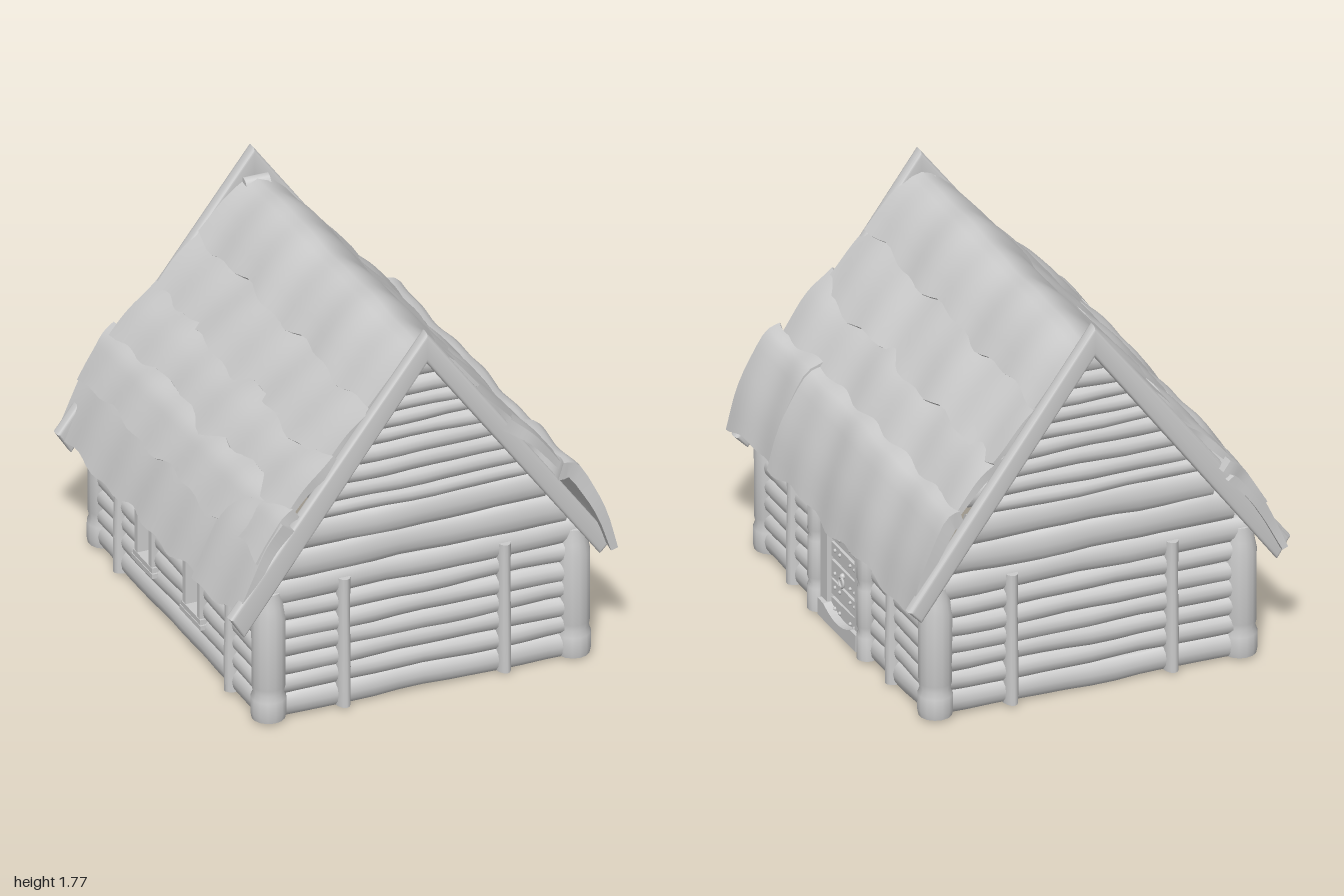
import * as THREE from 'three';
import { toCreasedNormals } from 'three/addons/utils/BufferGeometryUtils.js';

const material = new THREE.MeshStandardMaterial({ color: 0xcccccc });
const shellMaterial = new THREE.MeshStandardMaterial({ color: 0xcccccc, side: THREE.DoubleSide });
const CX = 0.02;            // x of the ridge
const SLOPE = 1.37;         // steepness of the gable
const LEFT = 0.757, RIGHT = -0.717, FRONT = 0.86, BACK = -0.885;   // wall planes

let seed = 7;
const rand = () => ((seed = (seed * 16807) % 2147483647) / 2147483647) - 0.5;
const wave = (z, k) => 0.6 * Math.sin(z * 8 + k * 2.1) + 0.4 * Math.sin(z * 19 + k * 1.3);

function add(parent, name, geometry, x = 0, y = 0, z = 0, mat = material) {
  const mesh = new THREE.Mesh(geometry, mat);
  mesh.name = name;
  mesh.position.set(x, y, z);
  parent.add(mesh);
  return mesh;
}

const box = (parent, name, w, h, d, x, y, z) =>
  add(parent, name, new THREE.BoxGeometry(w, h, d), x, y, z);

// Slightly uneven horizontal log running along x (or along z)
function log(parent, name, from, to, y, across, height, alongZ = false) {
  const length = to - from, mid = (from + to) / 2, k = rand() * 20;
  const g = new THREE.CylinderGeometry(1, 1, length, 12, Math.max(2, Math.ceil(length / 0.12)));
  const p = g.attributes.position;
  for (let i = 0; i < p.count; i++) {
    const t = p.getY(i), s = 1 + 0.06 * wave(t, k);
    p.setXYZ(i, t, p.getX(i) * height * 0.55 * s + 0.006 * wave(t * 0.6, k + 2), -p.getZ(i) * 0.04 * s);
  }
  const mesh = add(parent, name, toCreasedNormals(g, 0.9), alongZ ? across : mid, y, alongZ ? mid : across);
  if (alongZ) mesh.rotation.y = Math.PI / 2;
  return mesh;
}

// Upright post turned from radius/height pairs
function post(parent, name, profile, x, z) {
  const g = new THREE.LatheGeometry(profile.map(([r, y]) => new THREE.Vector2(r, y)), 14);
  return add(parent, name, toCreasedNormals(g, 0.8), x, 0, z);
}

const cornerProfile = [[0, 0], [0.074, 0], [0.08, 0.03], [0.079, 0.1], [0.068, 0.13], [0.075, 0.16],
  [0.076, 0.5], [0.066, 0.55], [0.056, 0.62], [0, 0.63]];
const doorPostProfile = [[0, 0], [0.046, 0], [0.047, 0.11], [0.038, 0.135], [0.046, 0.16], [0.045, 0.34],
  [0.038, 0.365], [0.046, 0.39], [0.044, 0.55], [0, 0.6]];
const slimProfile = (h) => [[0, 0], [0.033, 0], [0.034, h * 0.3], [0.031, h * 0.7], [0.033, h], [0, h]];

// Thatch sheet: a cross-section with thickness, swept along z with a wavy surface and edges
function thatch(parent, name, points, zMin, zMax, k, thickness) {
  const curve = new THREE.CatmullRomCurve3(points.map(([x, y]) => new THREE.Vector3(x, y, 0)));
  const n = 10, steps = 32, ring = 2 * (n + 1), pos = [], idx = [];
  const side = Math.sign(points[points.length - 1][0]);
  for (let s = 0; s <= steps; s++) {
    const z = zMin + (zMax - zMin) * s / steps;
    for (let j = 0; j < ring; j++) {
      const outer = j <= n, t = (outer ? j : ring - 1 - j) / n, e = 2 * t - 1;
      const c = curve.getPoint(t), d = curve.getTangent(t);
      const lift = (outer ? 0 : -thickness * (1 - 0.6 * t)) + 0.011 * wave(z, k + t);
      const slide = 0.026 * e * Math.abs(e) * wave(z * 1.2, k + 5 + t);
      pos.push(c.x - d.y * side * lift + d.x * slide, c.y + d.x * side * lift + d.y * slide + 0.018 * z,
        z + (s % steps ? 0 : 0.01 * wave(t * 0.4, k)));
    }
  }
  for (let s = 0; s < steps; s++) for (let j = 0; j < ring; j++) {
    const a = s * ring + j, b = s * ring + (j + 1) % ring;
    idx.push(a, b, a + ring, b, b + ring, a + ring);
  }
  for (let j = 0; j < n; j++) for (const [o, flip] of [[0, true], [steps * ring, false]]) {
    const a = o + j, b = o + j + 1, c = o + ring - 2 - j, d = o + ring - 1 - j;
    idx.push(...(flip ? [a, c, b, a, d, c] : [a, b, c, a, c, d]));
  }
  if (side > 0) idx.reverse();
  const g = new THREE.BufferGeometry();
  g.setAttribute('position', new THREE.Float32BufferAttribute(pos, 3));
  g.setIndex(idx);
  add(parent, name, toCreasedNormals(g, 0.7), 0, 0, 0, shellMaterial);
}

function buildGable(parent, z, sign) {
  const gable = new THREE.Group();
  gable.name = 'gableWall';
  parent.add(gable);
  [0.055, 0.155, 0.245, 0.33, 0.415, 0.51].forEach((y, i) =>
    log(gable, 'wallLog', -0.68, 0.72, y, z, i ? 0.092 : 0.11));
  // logs shorten towards the peak; these are the joints between them
  const joints = [0.555, 0.665, 0.8, 0.93, 1.0, 1.08, 1.16, 1.24, 1.31, 1.38, 1.45, 1.53, 1.63];
  for (let i = 1; i < joints.length; i++) {
    const y = (joints[i - 1] + joints[i]) / 2, half = (1.66 - y) / SLOPE;
    log(gable, 'gableLog', CX - half, CX + half, y, z, joints[i] - joints[i - 1] + 0.006)
      .rotation.z = rand() * 0.012 * half;
  }
  for (const x of [-0.36, 0.4])
    post(gable, 'wallPost', slimProfile(0.63), x, z + sign * 0.01).scale.z = 1.75;

  // rake boards meeting at the peak
  const s = new THREE.Shape([[CX, 1.76], [-0.91, 0.55], [-0.845, 0.45], [CX, 1.61],
    [0.84, 0.49], [0.9, 0.55]].map(([x, y]) => new THREE.Vector2(x, y)));
  const g = new THREE.ExtrudeGeometry(s, { depth: 0.028, bevelEnabled: true, bevelThickness: 0.016,
    bevelSize: 0.018, bevelOffset: -0.018, bevelSegments: 3 });
  add(gable, 'rakeBoards', toCreasedNormals(g, 0.7), 0, 0, z + sign * 0.042 - 0.014);
}

function buildDoor(parent) {
  const door = new THREE.Group();
  door.name = 'door';
  parent.add(door);
  for (const z of [0.25, -0.27]) post(door, 'doorPost', doorPostProfile, 0.793, z);
  for (const z of [0.17, -0.185]) box(door, 'doorJamb', 0.08, 0.5, 0.065, 0.76, 0.25, z);
  box(door, 'lintel', 0.09, 0.04, 0.42, 0.765, 0.5, -0.008);
  log(door, 'lintelLog', -0.24, 0.22, 0.555, 0.765, 0.07, true);
  // worn sill, dipping in the middle
  const sill = new THREE.Shape();
  sill.moveTo(-0.2, 0);
  sill.lineTo(0.2, 0);
  sill.lineTo(0.2, 0.08);
  sill.lineTo(0.14, 0.08);
  sill.quadraticCurveTo(0, 0.01, -0.14, 0.08);
  sill.lineTo(-0.2, 0.08);
  const sillGeo = new THREE.ExtrudeGeometry(sill, { depth: 0.1, bevelEnabled: false });
  add(door, 'sill', sillGeo, 0.72, 0, -0.008).rotation.y = Math.PI / 2;
  box(door, 'doorBacking', 0.02, 0.44, 0.29, 0.75, 0.26, -0.008);
  [[0.075, 0.065], [0.155, 0.07], [0.245, 0.08], [0.335, 0.07], [0.43, 0.085]].forEach(([y, h], i) => {
    box(door, 'doorPlank', 0.03, h, 0.28, 0.765, y, -0.008).rotation.x = rand() * 0.06;
    for (const z of [0.09, 0.04, -0.07, -0.115])
      add(door, 'stud', new THREE.SphereGeometry(0.009, 8, 6), 0.782, y + (i % 2 ? 0.012 : -0.01), z);
  });
  const ring = add(door, 'ringHandle', new THREE.TorusGeometry(0.024, 0.006, 8, 18), 0.792, 0.235, 0.005);
  ring.rotation.y = Math.PI / 2;
  add(door, 'handleBoss', new THREE.SphereGeometry(0.014, 10, 8), 0.785, 0.262, 0.005);
}

function buildWindow(parent, z) {
  const w = new THREE.Group();
  w.name = 'window';
  w.position.set(RIGHT, 0.325, z);
  parent.add(w);
  for (const s of [-1, 1]) {
    box(w, 'windowJamb', 0.11, 0.26, 0.03, 0, 0, s * 0.075);
    box(w, 'windowRail', 0.115, 0.03, 0.2, 0, s * 0.13, 0);
  }
  box(w, 'windowSill', 0.122, 0.022, 0.22, 0, -0.15, 0);
  box(w, 'mullion', 0.03, 0.24, 0.018, 0, 0, 0);
  box(w, 'crossBar', 0.03, 0.018, 0.14, 0, 0.02, 0);
}

export function createModel() {
  const cabin = new THREE.Group();
  cabin.name = 'logCabin';

  buildGable(cabin, FRONT, 1);
  buildGable(cabin, BACK, -1);
  for (const x of [-0.7, 0.742]) for (const z of [0.855, -0.875]) post(cabin, 'cornerPost', cornerProfile, x, z);

  // side walls: a doorway on the left, two window openings on the right
  const windows = [-0.31, 0.2];
  [0.055, 0.155, 0.245, 0.33, 0.415, 0.505, 0.585].forEach((y, i) => {
    const h = i ? 0.092 : 0.11;
    log(cabin, 'wallLog', 0.2, 0.84, y, LEFT, h, true);
    log(cabin, 'wallLog', -0.86, -0.21, y, LEFT, h, true);
    if (i >= 2 && i <= 4) {
      const ends = [-0.86, windows[0] - 0.07, windows[0] + 0.07, windows[1] - 0.07, windows[1] + 0.07, 0.84];
      for (let e = 0; e < 6; e += 2) log(cabin, 'wallLog', ends[e], ends[e + 1], y, RIGHT, h, true);
    } else log(cabin, 'wallLog', -0.86, 0.84, y, RIGHT, h, true);
  });
  for (const [x, z] of [[LEFT + 0.01, 0.51], [LEFT + 0.01, -0.53], [RIGHT - 0.008, 0.57], [RIGHT - 0.008, -0.6]])
    post(cabin, 'wallPost', slimProfile(0.6), x, z).scale.x = 1.7;
  buildDoor(cabin);
  for (const z of windows) buildWindow(cabin, z);

  // thatch courses, lowest first
  const roof = new THREE.Group();
  roof.name = 'thatchRoof';
  cabin.add(roof);
  const left = [[0.625, 0.99], [0.7, 0.965], [0.775, 0.84], [0.835, 0.7], [0.88, 0.54]];
  thatch(roof, 'leftEave', left, -0.92, 0.57, 1, 0.085);
  thatch(roof, 'leftEave', left.map(([x, y]) => [x + 0.006, y + 0.005]), 0.56, 0.985, 2, 0.085);
  thatch(roof, 'leftLowerCourse', [[0.42, 1.22], [0.53, 1.125], [0.67, 0.95]], -0.9, 0.94, 3, 0.06);
  thatch(roof, 'leftMiddleCourse', [[0.2, 1.46], [0.36, 1.315], [0.49, 1.175]], -0.9, 0.92, 4, 0.045);
  const right = [[-0.66, 0.95], [-0.74, 0.84], [-0.81, 0.7], [-0.88, 0.53]];
  thatch(roof, 'rightEave', right, -0.985, 0.5, 6, 0.07);
  thatch(roof, 'rightEave', right.map(([x, y]) => [x - 0.006, y + 0.005]), 0.49, 0.93, 7, 0.07);
  thatch(roof, 'rightSecondCourse', [[-0.6, 1.02], [-0.67, 0.97], [-0.72, 0.9], [-0.78, 0.8]], -0.985, 0.92, 8, 0.06);
  thatch(roof, 'rightLowerCourse', [[-0.42, 1.21], [-0.53, 1.115], [-0.65, 0.965]], -0.95, 0.9, 9, 0.06);
  thatch(roof, 'rightMiddleCourse', [[-0.18, 1.46], [-0.33, 1.325], [-0.46, 1.18]], -0.91, 0.89, 10, 0.045);
  thatch(roof, 'ridgeCourse', [[-0.25, 1.415], [-0.1, 1.585], [CX, 1.65], [0.14, 1.585], [0.28, 1.415]],
    -0.9, 0.88, 5, 0.04);

  return cabin;
}
